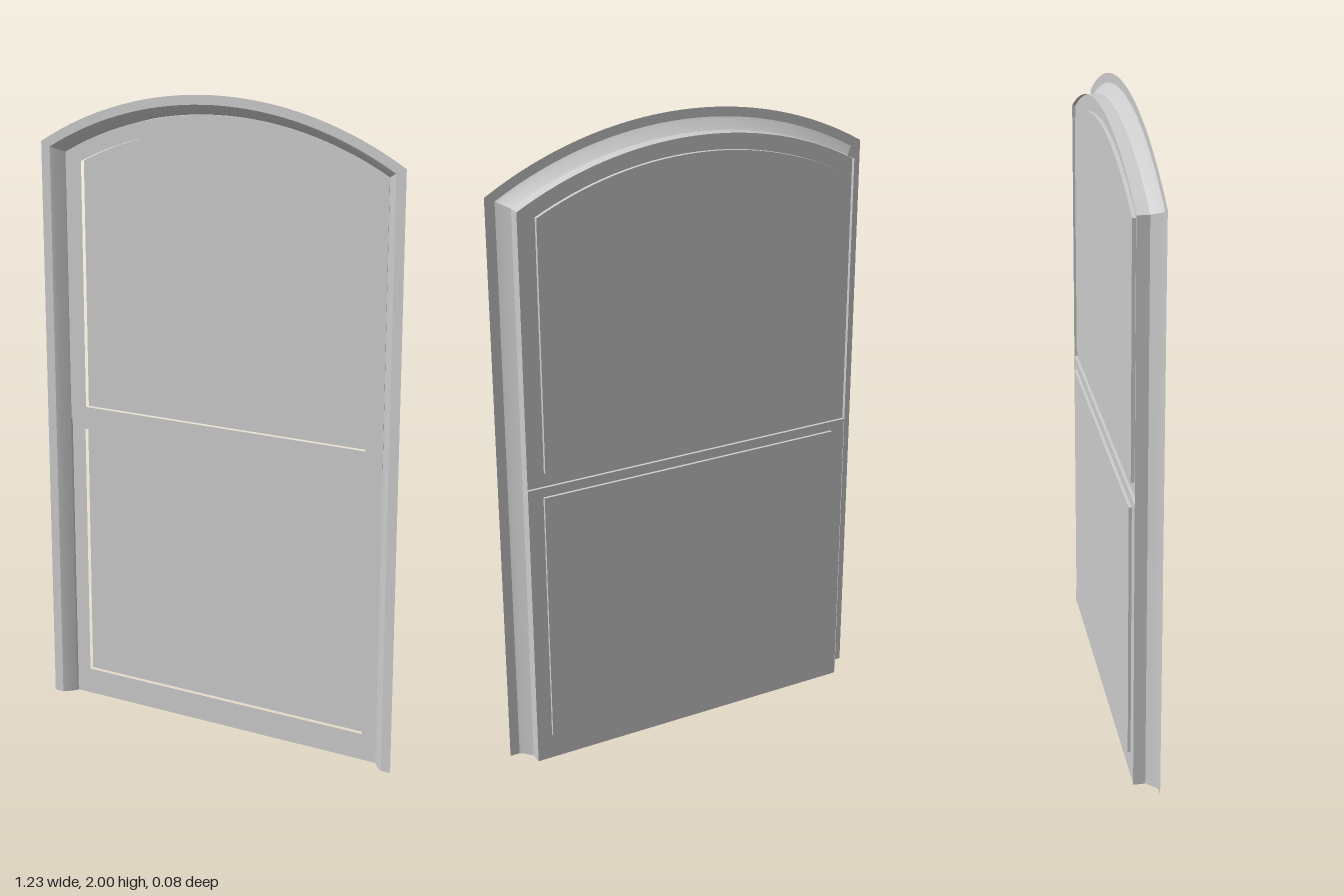
import * as THREE from 'three';
import { toCreasedNormals } from 'three/addons/utils/BufferGeometryUtils.js';

const ARCH_Y = 0.803; // shared centre height of all the concentric arches
const ARCH_STEPS = 32;

// Points up the left side, over the arch and down the right side
function archedPath(halfWidth, radius, bottom) {
  const half = Math.asin(halfWidth / radius);
  const pts = [new THREE.Vector2(-halfWidth, bottom)];
  for (let i = 0; i <= ARCH_STEPS; i++) {
    const a = -half + (2 * half * i) / ARCH_STEPS;
    pts.push(new THREE.Vector2(radius * Math.sin(a), ARCH_Y + radius * Math.cos(a)));
  }
  pts.push(new THREE.Vector2(halfWidth, bottom));
  return pts;
}

function rectPath(halfWidth, bottom, top) {
  return [[-halfWidth, bottom], [-halfWidth, top], [halfWidth, top], [halfWidth, bottom]]
    .map(([x, y]) => new THREE.Vector2(x, y));
}

// Thin moulding: profile points are [half width, z], swept around the opening
function sweptCasing(profile) {
  const rows = profile.map(([w, z]) =>
    archedPath(w, 1.197 - (0.615 - w) * 0.92, 0).map(p => [p.x, p.y, z]));
  const pos = [], index = [], n = rows[0].length;
  rows.forEach(row => row.forEach(p => pos.push(...p)));
  for (let j = 0; j < rows.length - 1; j++) {
    for (let i = 0; i < n - 1; i++) {
      const a = j * n + i, b = a + 1, c = a + n, d = c + 1;
      index.push(a, c, b, b, c, d);
    }
  }
  const geo = new THREE.BufferGeometry();
  geo.setAttribute('position', new THREE.Float32BufferAttribute(pos, 3));
  geo.setIndex(index);
  return toCreasedNormals(geo, 0.5);
}

// Solid slab between two z planes, with an optional opening
function slab(outline, back, front, opening) {
  const shape = new THREE.Shape(outline);
  if (opening) shape.holes.push(new THREE.Path(opening));
  const geo = new THREE.ExtrudeGeometry(shape, { depth: front - back, bevelEnabled: false });
  geo.translate(0, 0, back);
  return toCreasedNormals(geo, 0.5);
}

export function createModel() {
  const group = new THREE.Group();
  const solid = new THREE.MeshStandardMaterial({ color: 0xcccccc });
  const sheet = new THREE.MeshStandardMaterial({ color: 0xcccccc, side: THREE.DoubleSide });
  const add = (name, geo, mat = solid) => {
    const mesh = new THREE.Mesh(geo, mat);
    mesh.name = name;
    group.add(mesh);
  };

  // Flat face, splayed reveal and jamb in one open sheet
  add('casing', sweptCasing([
    [0.615, 0.038], [0.584, 0.038], [0.573, 0.03], [0.55, 0.005], [0.55, -0.032],
  ]), sheet);

  // Upper sash with arched pane, set slightly forward
  const upperPane = archedPath(0.492, 1.087, 0.99);
  add('upperSash', slab(archedPath(0.549, 1.136, 0.945), -0.022, 0.004, upperPane));
  add('upperPane', slab(upperPane, -0.033, -0.012));

  // Lower sash with rectangular pane, set slightly back
  const lowerPane = rectPath(0.5, 0.085, 0.915);
  add('lowerSash', slab(rectPath(0.549, 0, 0.945), -0.031, -0.002, lowerPane));
  add('lowerPane', slab(lowerPane, -0.04, -0.018));

  return group;
}
